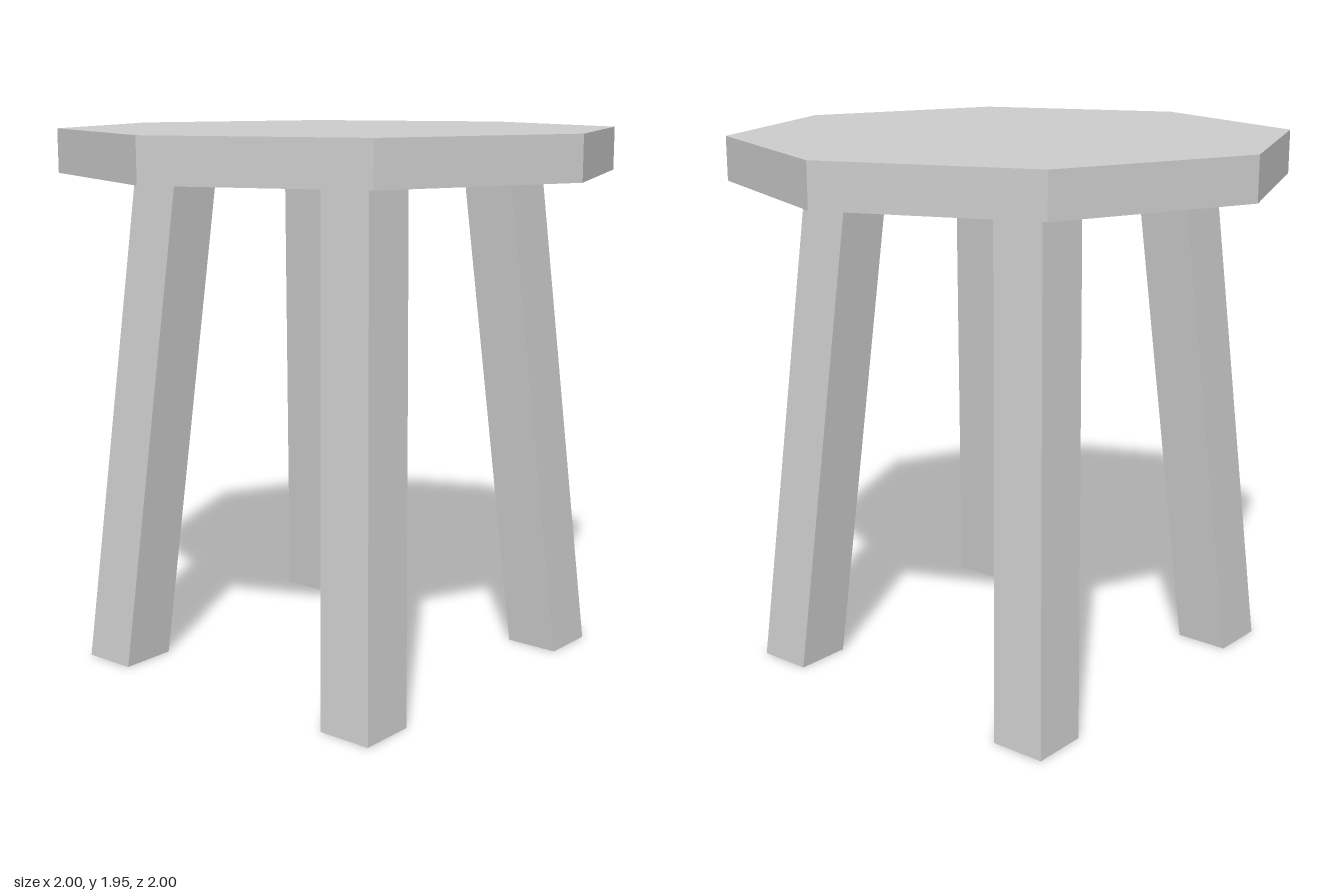
import * as THREE from 'three';

const material = new THREE.MeshStandardMaterial({ color: 0xcccccc, flatShading: true });

const TOP = 1.95, SEAT = 0.155;
const LEG = { height: TOP - SEAT, width: 0.2, depth: 0.207, footX: 0.562, footZ: 0.565, headX: 0.43, headZ: 0.402 };

// Square post sheared so that it splays outwards while both ends stay level
function makeLeg(sx, sz) {
  const geometry = new THREE.BoxGeometry(LEG.width, LEG.height, LEG.depth);
  geometry.translate(0, LEG.height / 2, 0);
  const p = geometry.attributes.position;
  for (let i = 0; i < p.count; i++) {
    const t = p.getY(i) / LEG.height;
    p.setX(i, p.getX(i) + sx * THREE.MathUtils.lerp(LEG.footX, LEG.headX, t));
    p.setZ(i, p.getZ(i) + sz * THREE.MathUtils.lerp(LEG.footZ, LEG.headZ, t));
  }
  geometry.computeVertexNormals();
  const leg = new THREE.Mesh(geometry, material);
  leg.name = `${sz > 0 ? 'front' : 'back'}${sx > 0 ? 'Left' : 'Right'}Leg`;
  return leg;
}

export function createModel() {
  const stool = new THREE.Group();
  stool.name = 'stool';

  // Octagonal seat with corners on the x and z axes
  const seat = new THREE.Mesh(new THREE.CylinderGeometry(1, 1, SEAT, 8), material);
  seat.name = 'seat';
  seat.position.y = TOP - SEAT / 2;
  stool.add(seat);

  // Four splayed legs
  for (const sx of [-1, 1]) for (const sz of [-1, 1]) stool.add(makeLeg(sx, sz));

  return stool;
}
